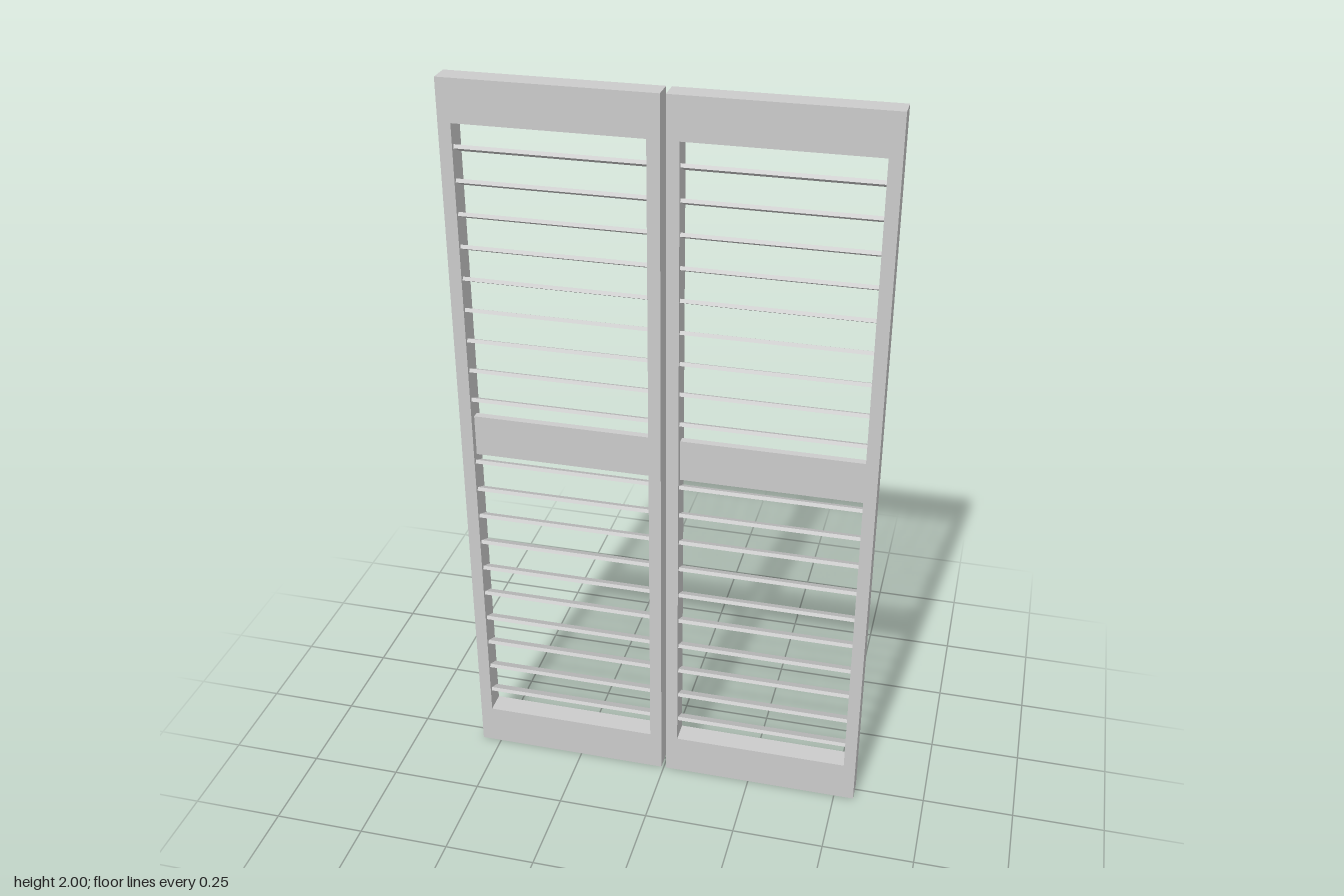
import * as THREE from 'three';

const material = new THREE.MeshStandardMaterial({ color: 0xcccccc });

// One panel, centred on its own x = 0
const PANEL_X = 0.281, HALF = 0.274, OPEN_HALF = 0.241;
const OPEN_BOTTOM = 0.115, OPEN_TOP = 1.89;
const BACK = -0.02, DEPTH = 0.06, MID = BACK + DEPTH / 2;
const RAIL_DEPTH = 0.02;

function add(parent, name, geometry, x, y, z) {
  const mesh = new THREE.Mesh(geometry, material);
  mesh.name = name;
  mesh.position.set(x, y, z);
  parent.add(mesh);
  return mesh;
}

// Outer frame: one board with a rectangular opening
function frameGeometry() {
  const corners = (h, ya, yb) => [[-h, ya], [h, ya], [h, yb], [-h, yb]]
    .map(([x, y]) => new THREE.Vector2(x, y));
  const shape = new THREE.Shape(corners(HALF, 0, 2));
  shape.holes.push(new THREE.Path(corners(OPEN_HALF, OPEN_BOTTOM, OPEN_TOP).reverse()));
  return new THREE.ExtrudeGeometry(shape, { depth: DEPTH, bevelEnabled: false });
}

// Oval knob: a neck and a domed head
function knobGeometry() {
  const profile = [[0.012, 0], [0.012, 0.016], [0.018, 0.021], [0.023, 0.024], [0.0245, 0.028],
    [0.0235, 0.033], [0.019, 0.038], [0.01, 0.0405], [0, 0.041]];
  return new THREE.LatheGeometry(profile.map(([r, y]) => new THREE.Vector2(r, y)), 20)
    .rotateX(-Math.PI / 2)
    .scale(1, 1.2, 1);
}

function createPanel(side) {
  const panel = new THREE.Group();
  panel.name = side > 0 ? 'leftPanel' : 'rightPanel';
  panel.position.x = side * PANEL_X;
  const width = OPEN_HALF * 2;

  add(panel, 'frame', frameGeometry(), 0, 0, BACK);

  // Thin middle rail set back from both faces of the frame
  add(panel, 'middleRail', new THREE.BoxGeometry(width, 0.115, RAIL_DEPTH), 0, 1.028, MID);

  // Louvre slats, front edge raised, in two banks
  const slat = new THREE.BoxGeometry(width, 0.01, 0.046);
  const addBank = (first, last, count) => {
    for (let i = 0; i < count; i++) {
      const y = first + (last - first) * i / (count - 1);
      add(panel, 'slat', slat, 0, y, MID).rotation.x = -0.45;
    }
  };
  addBank(0.172, 0.943, 10);
  addBank(1.131, 1.82, 9);

  // Knob on the rear of the middle rail, near the meeting stile
  add(panel, 'knob', knobGeometry(), side * (0.084 - PANEL_X), 1.01, MID - RAIL_DEPTH / 2);
  return panel;
}

export function createModel() {
  const model = new THREE.Group();
  model.name = 'louvredShutters';
  model.add(createPanel(1), createPanel(-1));
  return model;
}
